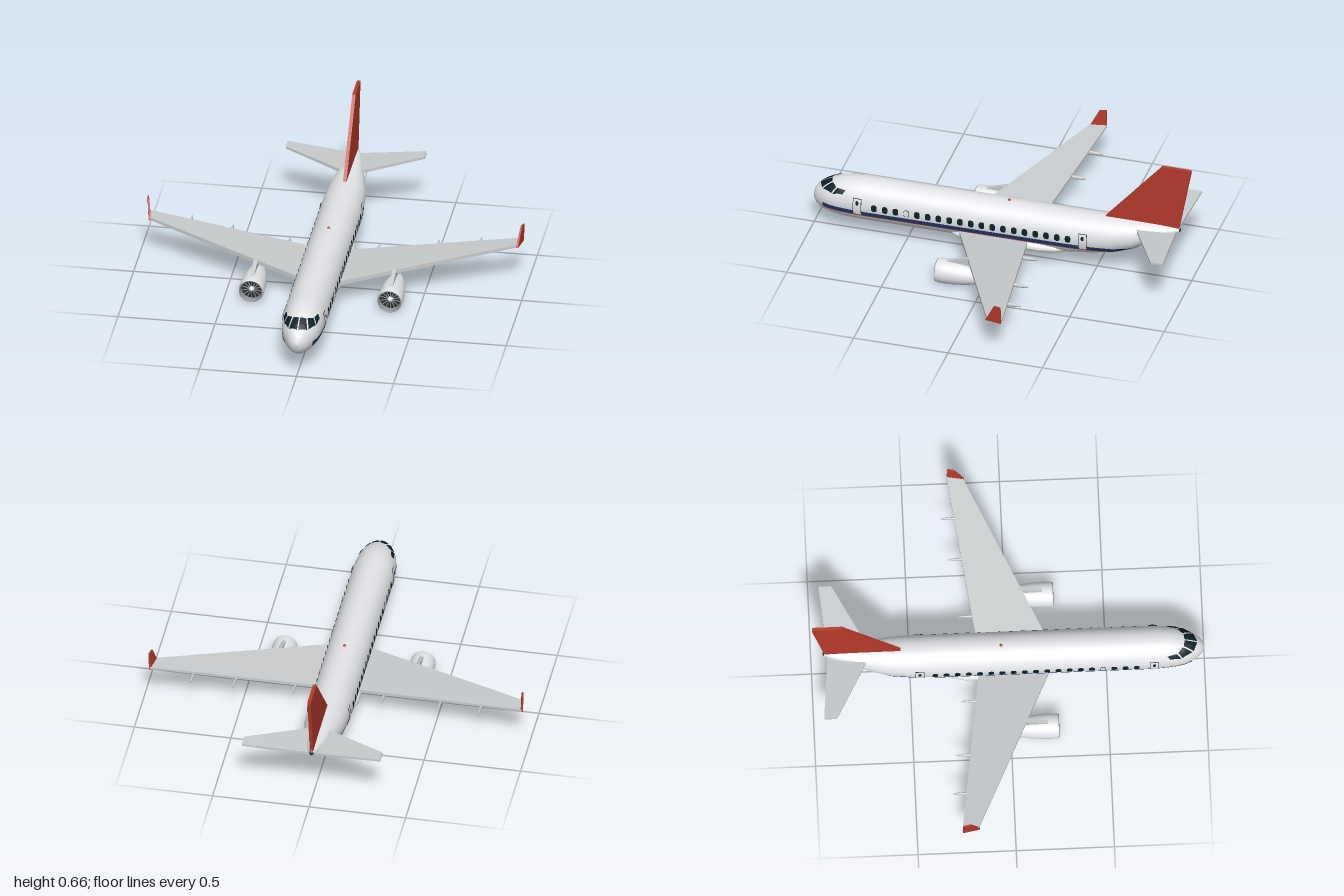
import * as THREE from 'three';
import { mergeVertices } from 'three/addons/utils/BufferGeometryUtils.js';
import { ConvexGeometry } from 'three/addons/geometries/ConvexGeometry.js';

// Fuselage stations: z, top y, bottom y, half width
const STATIONS = [
  [1, 0.187, 0.183, 0.002], [0.994, 0.213, 0.152, 0.024], [0.98, 0.237, 0.13, 0.042],
  [0.96, 0.255, 0.116, 0.056], [0.935, 0.272, 0.106, 0.072], [0.9, 0.289, 0.098, 0.088],
  [0.85, 0.306, 0.091, 0.099], [0.79, 0.316, 0.087, 0.105], [0.72, 0.32, 0.085, 0.108],
  [-0.36, 0.32, 0.085, 0.108], [-0.48, 0.32, 0.1, 0.107], [-0.6, 0.32, 0.125, 0.1],
  [-0.7, 0.32, 0.162, 0.08], [-0.8, 0.319, 0.215, 0.055], [-0.88, 0.317, 0.258, 0.034],
  [-0.935, 0.314, 0.285, 0.014], [-0.937, 0.301, 0.299, 0.001],
];
// Belly fairing stations, same layout
const BELLY = [
  [0.28, 0.125, 0.115, 0.03], [0.26, 0.145, 0.098, 0.07], [0.22, 0.16, 0.082, 0.096],
  [0.15, 0.165, 0.073, 0.108], [-0.22, 0.165, 0.073, 0.108], [-0.3, 0.155, 0.078, 0.09],
  [-0.38, 0.13, 0.09, 0.04],
];

function section(table, z) {
  let i = 0;
  while (i < table.length - 2 && z < table[i + 1][0]) i++;
  const p = table[i], q = table[i + 1];
  const t = THREE.MathUtils.clamp((z - p[0]) / (q[0] - p[0]), 0, 1);
  const [top, bottom, rx] = [1, 2, 3].map(k => p[k] + (q[k] - p[k]) * t);
  return { cy: (top + bottom) / 2, ry: (top - bottom) / 2, rx };
}

// Point on a lofted body at station z and angle a (0 = side, PI/2 = top)
function onBody(table, z, a, offset = 0) {
  const s = section(table, z);
  return [(s.rx + offset) * Math.cos(a), s.cy + (s.ry + offset) * Math.sin(a), z];
}

const clampUnit = v => THREE.MathUtils.clamp(v, -1, 1);
function atHeight(z, y, offset) {
  const s = section(STATIONS, z);
  return onBody(STATIONS, z, Math.asin(clampUnit((y - s.cy) / s.ry)), offset);
}
function atWidth(z, x, offset) {
  return onBody(STATIONS, z, Math.acos(clampUnit(x / section(STATIONS, z).rx)), offset);
}

// Surface from fn(u, v), u and v in 0..1
function grid(fn, nu, nv) {
  const pos = [], index = [];
  for (let i = 0; i <= nu; i++) for (let j = 0; j <= nv; j++) pos.push(...fn(i / nu, j / nv));
  for (let i = 0; i < nu; i++) for (let j = 0; j < nv; j++) {
    const a = i * (nv + 1) + j, b = a + nv + 1;
    index.push(a, b, a + 1, b, b + 1, a + 1);
  }
  let g = new THREE.BufferGeometry();
  g.setAttribute('position', new THREE.Float32BufferAttribute(pos, 3));
  g.setIndex(index);
  g = mergeVertices(g, 1e-5);
  g.computeVertexNormals();
  return g;
}

const loft = table => grid((u, v) =>
  onBody(table, table[Math.round(u * (table.length - 1))][0], v * Math.PI * 2 - Math.PI / 2),
table.length - 1, 40);

// Flat solid: planform corners thickened along one axis (0 = x, 1 = y)
function slab(corners, halves, axis) {
  const pts = [];
  corners.forEach((c, i) => [-1, 1].forEach(k => {
    const p = [...c];
    p[axis] += k * halves[i];
    pts.push(new THREE.Vector3(...p));
  }));
  return new ConvexGeometry(pts);
}

export function createModel() {
  const root = new THREE.Group();
  root.name = 'airliner';
  const mat = (name, color, side = THREE.FrontSide) =>
    Object.assign(new THREE.MeshStandardMaterial({ color, side }), { name });
  const white = mat('body white', 0xe4e6e9, THREE.DoubleSide);
  const grey = mat('wing grey', 0xc8cbcd);
  const metal = mat('engine metal', 0x94989c, THREE.DoubleSide);
  const red = mat('tail red', 0xb53a2b, THREE.DoubleSide);
  const blue = mat('stripe blue', 0x1f3a72, THREE.DoubleSide);
  const glass = mat('window glass', 0x0c2029, THREE.DoubleSide);
  const dark = mat('dark interior', 0x2a2d31, THREE.DoubleSide);

  const add = (name, geo, material, parent = root) => {
    const m = new THREE.Mesh(geo, material);
    m.name = name;
    parent.add(m);
    return m;
  };

  add('fuselage', loft(STATIONS), white);
  add('bellyFairing', loft(BELLY), white);
  add('fin', slab([[0, 0.28, -0.53], [0, 0.32, -0.547], [0, 0.667, -0.845], [0, 0.667, -0.997],
    [0, 0.655, -0.998], [0, 0.3, -0.932]], [0.009, 0.009, 0.009, 0.009, 0.009, 0.009], 0), red);
  add('topBeacon', new THREE.SphereGeometry(0.008, 12, 8), red).position.set(0, 0.32, -0.035);
  add('tailOutlet', new THREE.SphereGeometry(0.012, 12, 8), dark).position.set(0, 0.3, -0.932);

  const wingY = x => 0.135 + (x - 0.11) * 0.096;

  for (const s of [1, -1]) {
    const side = new THREE.Group();
    side.name = s > 0 ? 'leftSide' : 'rightSide';
    root.add(side);
    const flip = p => [s * p[0], p[1], p[2]];

    // Painted details that follow the fuselage skin
    const rect = (name, z0, z1, y0, y1, offset, material, nu = 3, nv = 6) =>
      add(name, grid((u, v) =>
        flip(atHeight(z0 + (z1 - z0) * u, y0 + (y1 - y0) * v, offset)), nu, nv), material, side);
    const rounded = (name, z, y, w, h, offset, material) =>
      add(name, grid((u, v) => {
        const a = v * Math.PI * 2, c = Math.cos(a), d = Math.sin(a);
        return flip(atHeight(z + u * w * Math.sign(c) * Math.abs(c) ** 0.7,
          y + u * h * Math.sign(d) * Math.abs(d) ** 0.7, offset));
      }, 2, 16), material, side);

    rect('blueStripe', 0.935, -0.75, 0.157, 0.18, 0.002, blue, 160, 4);
    rect('redLine', 0.93, -0.72, 0.151, 0.157, 0.002, red, 160, 2);

    for (let i = 0; i < 19; i++) {
      const z = 0.652 - i * 0.057;
      rounded('cabinWindow', z, 0.21, 0.015, 0.019, 0.003, glass);
      if (i === 3) rounded('windowPlug', z, 0.21, 0.0125, 0.0165, 0.0045, white);
    }
    for (const z of [0.742, -0.452]) {
      rect('doorOutline', z + 0.023, z - 0.023, 0.158, 0.25, 0.003, dark);
      rect('doorPanel', z + 0.02, z - 0.02, 0.161, 0.247, 0.0045, white);
      rounded('doorWindow', z, 0.226, 0.008, 0.011, 0.006, glass);
    }

    // Cockpit panes: four corners as (z, x)
    const panes = [
      [[0.965, 0.003], [0.945, 0.045], [0.895, 0.032], [0.9, 0.003]],
      [[0.938, 0.051], [0.887, 0.079], [0.865, 0.064], [0.889, 0.038]],
      [[0.879, 0.082], [0.825, 0.089], [0.81, 0.079], [0.858, 0.068]],
    ];
    for (const [a, b, c, d] of panes) add('cockpitPane', grid((u, v) => {
      const mix = k => (a[k] * (1 - u) + b[k] * u) * (1 - v) + (d[k] * (1 - u) + c[k] * u) * v;
      return flip(atWidth(mix(0), mix(1), 0.003));
    }, 8, 8), glass, side);

    // Flying surfaces
    add('wing', slab([[0.04, wingY(0.04), 0.228], [0.95, wingY(0.95), -0.19],
      [0.962, wingY(0.962), -0.272], [0.04, wingY(0.04), -0.148]].map(flip),
    [0.012, 0.008, 0.006, 0.009], 1), grey, side);
    add('winglet', slab([[0.946, 0.208, -0.182], [0.962, 0.208, -0.27],
      [0.968, 0.305, -0.268], [0.96, 0.305, -0.232]].map(flip),
    [0.006, 0.006, 0.004, 0.004], 0), red, side);
    add('tailplane', slab([[0.01, 0.284, -0.7], [0.358, 0.311, -0.885],
      [0.358, 0.311, -0.95], [0.01, 0.284, -0.92]].map(flip),
    [0.009, 0.006, 0.005, 0.007], 1), grey, side);

    // Flap track fairings
    for (const [x, tip] of [[0.23, -0.25], [0.53, -0.29], [0.745, -0.315]]) {
      const f = add('flapFairing', new THREE.SphereGeometry(1, 12, 10), grey, side);
      f.scale.set(0.007, 0.011, 0.08);
      f.position.set(s * x, wingY(x) - 0.011, tip + 0.08);
    }

    // Engine
    add('pylon', slab([[0.357, 0.12, 0.19], [0.357, 0.137, 0.19], [0.357, 0.17, 0.08],
      [0.357, 0.157, -0.07], [0.357, 0.095, -0.02]].map(flip),
    [0.01, 0.01, 0.01, 0.007, 0.007], 0), grey, side);
    const engine = new THREE.Group();
    engine.name = 'engine';
    engine.position.set(s * 0.357, 0.07, 0);
    side.add(engine);
    const lathe = (name, pts, material) => add(name, new THREE.LatheGeometry(
      pts.map(p => new THREE.Vector2(...p)), 32).rotateX(Math.PI / 2), material, engine);
    lathe('nacelle', [[0.034, -0.015], [0.045, 0.03], [0.057, 0.09], [0.063, 0.15],
      [0.065, 0.2], [0.064, 0.23], [0.061, 0.243]], white);
    lathe('intakeLip', [[0.061, 0.243], [0.058, 0.246], [0.055, 0.24], [0.053, 0.2]], metal);
    add('fanDisc', new THREE.CircleGeometry(0.054, 32), dark, engine).position.z = 0.208;
    for (let i = 0; i < 14; i++) {
      const blade = add('fanBlade',
        new THREE.BoxGeometry(0.004, 0.038, 0.003).translate(0, 0.032, 0), metal, engine);
      blade.position.z = 0.212;
      blade.rotation.z = i / 14 * Math.PI * 2;
    }
    lathe('spinner', [[0.015, 0.209], [0.011, 0.224], [0.0001, 0.234]], white);
    add('exhaustDisc', new THREE.CircleGeometry(0.036, 32), dark, engine).position.z = -0.01;
    lathe('exhaustCone', [[0.0001, -0.03], [0.012, -0.02], [0.017, -0.009]], metal);
  }
  return root;
}
